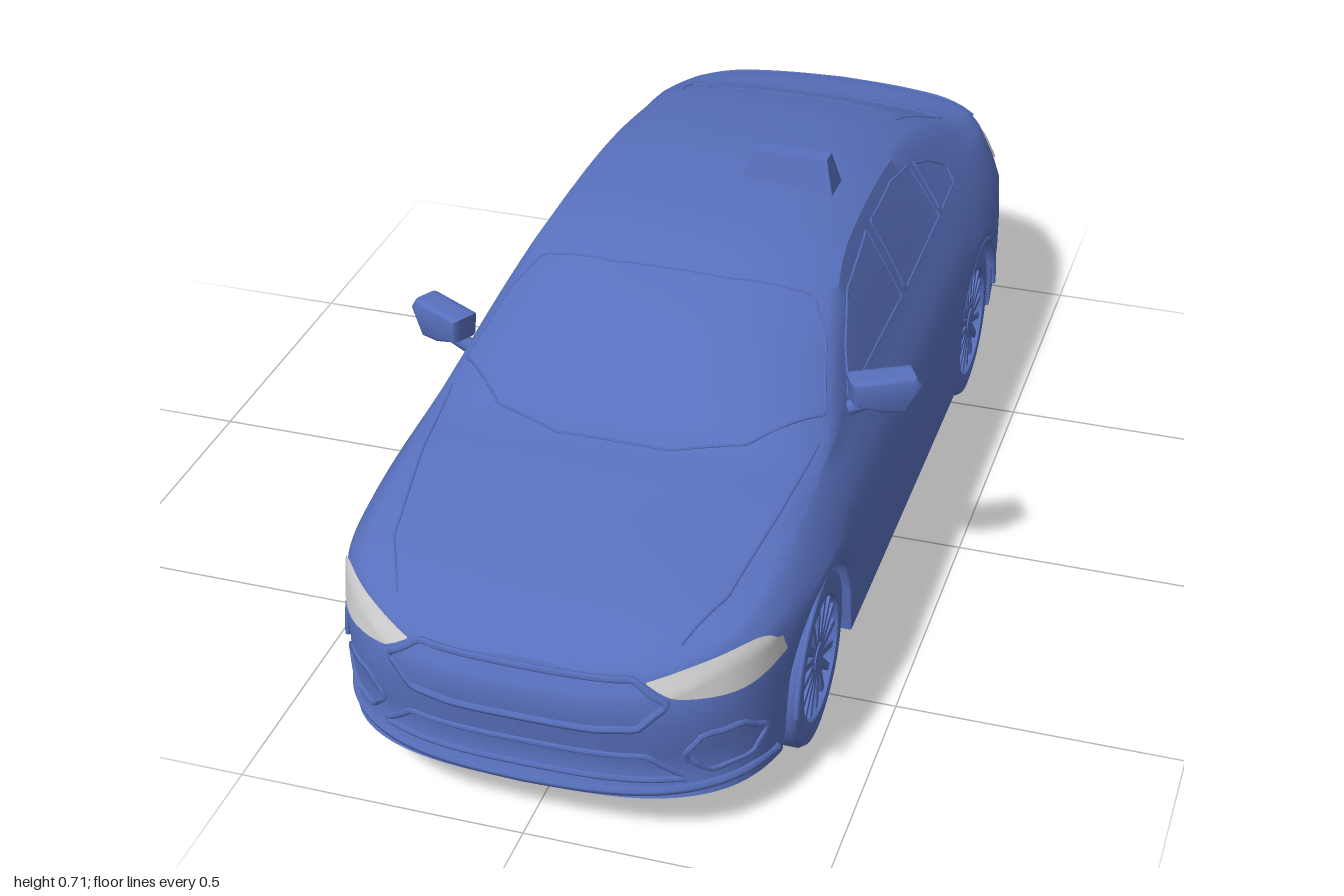
import * as THREE from 'three';
import { toCreasedNormals } from 'three/addons/utils/BufferGeometryUtils.js';

const paint = new THREE.MeshStandardMaterial({ color: 0x5870bd, side: THREE.DoubleSide });
const lamp = new THREE.MeshStandardMaterial({ color: 0xcccccc, side: THREE.DoubleSide });
const WHEELS = [0.603, -0.571], WHEEL_R = 0.155, ARCH_R = 0.168;

// Smooth interpolation through [position, value] pairs in ascending order
function curve(pts) {
  const slope = i => {
    const a = pts[Math.max(i - 1, 0)], b = pts[Math.min(i + 1, pts.length - 1)];
    return (b[1] - a[1]) / (b[0] - a[0]);
  };
  return v => {
    if (v <= pts[0][0]) return pts[0][1];
    for (let i = 0; i < pts.length - 1; i++) {
      const [x0, y0] = pts[i], [x1, y1] = pts[i + 1];
      if (v > x1) continue;
      const h = x1 - x0, t = (v - x0) / h, t2 = t * t, t3 = t2 * t;
      return y0 * (2 * t3 - 3 * t2 + 1) + y1 * (3 * t2 - 2 * t3)
        + h * (slope(i) * (t3 - 2 * t2 + t) + slope(i + 1) * (t3 - t2));
    }
    return pts[pts.length - 1][1];
  };
}

// Body lines along the car, from tail (-z) to nose (+z)
const topY = curve([[-1, .455], [-.95, .466], [-.85, .482], [-.8, .5], [-.7, .553], [-.6, .598], [-.5, .625], [-.4, .641],
  [-.2, .66], [0, .656], [.1, .645], [.2, .62], [.3, .583], [.4, .53], [.5, .474], [.6, .452], [.8, .412], [.9, .384], [.995, .335]]);
const railY = curve([[-1, .445], [-.95, .452], [-.85, .47], [-.75, .502], [-.6, .56], [-.4, .605], [-.2, .625], [0, .62],
  [.1, .6], [.2, .56], [.3, .505], [.4, .457], [.5, .442], [.6, .432], [.8, .393], [.9, .367], [.995, .328]]);
const railX = curve([[-1, .85], [-.85, .8], [-.7, .72], [-.5, .655], [-.3, .65], [0, .665], [.1, .69], [.2, .735],
  [.3, .79], [.4, .835], [.5, .815], [.8, .78], [.995, .85]]);
const beltY = curve([[-1, .425], [-.9, .442], [-.75, .462], [-.5, .463], [0, .45], [.3, .445], [.45, .433], [.6, .414],
  [.8, .382], [.9, .357], [.995, .318]]);
const beltX = curve([[-1, .9], [-.8, .875], [-.5, .865], [.3, .872], [.5, .875], [.8, .9], [.995, .95]]);
const shoulderY = curve([[-1, .34], [-.9, .36], [-.6, .36], [0, .345], [.7, .345], [.9, .33], [.995, .28]]);
const floorY = curve([[-1, .128], [-.85, .115], [-.75, .1], [-.6, .088], [.8, .088], [.995, .1]]);
const noseBack = curve([[.09, 0], [.13, .022], [.2, .012], [.27, 0], [.34, .025], [.4, .01]]);
const tailBack = curve([[.1, .055], [.16, .012], [.25, 0], [.29, .02], [.34, .036], [.41, .03], [.46, .005]]);
const halfWidth = z => 0.405 * (z > 0 ? Math.pow(Math.max(0, 1 - (z / .995) ** 7), .33) : Math.pow(Math.max(0, 1 - (-z) ** 9), .24));

// Half cross-section from the floor centre, through the wheel well, up the side to the roof centre
function section(z) {
  const w = halfWidth(z), base = floorY(z), inner = Math.min(.295, w * .9);
  let y0 = base;
  for (const c of WHEELS) {
    const d = Math.abs(z - c);
    if (d < ARCH_R) y0 = WHEEL_R + Math.sqrt(ARCH_R ** 2 - d * d);
  }
  const s = shoulderY(z), b = beltY(z), bx = beltX(z) * w, r = railY(z), rx = railX(z) * w, t = topY(z);
  const mix = THREE.MathUtils.lerp;
  const p = [[0, base], [inner, base], [inner, y0], [w * .982, y0]];
  for (const [k, f] of [[.15, .992], [.4, 1], [.7, 1], [1, .99]]) p.push([w * f, mix(y0, s, k)]);
  p.push([mix(w, bx, .35), mix(s, b, .4)], [mix(w, bx, .72), mix(s, b, .75)], [bx, b]);
  for (const k of [.25, .5, .75, 1]) p.push([mix(bx, rx, k) + .03 * w * k * (1 - k), mix(b, r, k)]);
  for (const k of [.95, .88, .78, .62, .45, .25, 0]) p.push([rx * k, t - (t - r) * k ** 3]);
  return p;
}

function bodyGeometry() {
  const N = 200, pos = [], index = [];
  let m = 0;
  for (let k = 0; k <= N; k++) {
    const z = -.0025 - .9975 * Math.cos(Math.PI * k / N), half = section(z);
    const ring = half.concat(half.slice(1, -1).reverse().map(([x, y]) => [-x, y]));
    const ramp = THREE.MathUtils.smoothstep(Math.abs(z), .78, .96);
    m = ring.length;
    for (const [x, y] of ring) pos.push(x, y, z + ramp * (z > 0 ? -noseBack(y) : tailBack(y)));
  }
  for (let k = 0; k < N; k++) for (let i = 0; i < m; i++) {
    const j = (i + 1) % m, a = k * m + i, b = k * m + j;
    index.push(a, b, b + m, a, b + m, a + m);
  }
  const g = new THREE.BufferGeometry();
  g.setAttribute('position', new THREE.Float32BufferAttribute(pos, 3));
  g.setIndex(index);
  return toCreasedNormals(g, .65);
}

export function createModel() {
  const car = new THREE.Group();
  const add = (name, geo, mat = paint, parent = car) => {
    const mesh = new THREE.Mesh(geo, mat);
    mesh.name = name;
    parent.add(mesh);
    return mesh;
  };
  const body = add('body', bodyGeometry());
  body.updateMatrixWorld();

  // Drop a flat point onto the body: front/back take (x, y), left/right (z, y), top (x, z)
  const ray = new THREE.Raycaster();
  const views = {
    front: (a, b) => [[a, b, 3], [0, 0, -1]], back: (a, b) => [[a, b, -3], [0, 0, 1]], top: (a, b) => [[a, 3, b], [0, -1, 0]],
    left: (a, b) => [[3, b, a], [-1, 0, 0]], right: (a, b) => [[-3, b, a], [1, 0, 0]],
  };
  function project(view, a, b, lift = 0) {
    for (let n = 0; n < 25; n++, a *= .985) {
      const [o, d] = views[view](a, b).map(v => new THREE.Vector3(...v));
      ray.set(o, d);
      const hit = ray.intersectObject(body)[0];
      if (hit) return hit.point.addScaledVector(hit.face.normal, lift);
    }
    return null;
  }
  // Thin trim line laid on the body along a flat outline
  function trim(name, view, pts, r = .003, closed = true) {
    const out = [], n = closed ? pts.length : pts.length - 1;
    for (let i = 0; i < n; i++) {
      const p = pts[i], q = pts[(i + 1) % pts.length], steps = Math.max(2, Math.ceil(Math.hypot(q[0] - p[0], q[1] - p[1]) / .03));
      for (let k = 0; k < steps; k++) out.push(project(view, p[0] + (q[0] - p[0]) * k / steps, p[1] + (q[1] - p[1]) * k / steps));
    }
    if (!closed) out.push(project(view, ...pts[pts.length - 1]));
    const path = new THREE.CatmullRomCurve3(out.filter(Boolean), closed, 'centripetal');
    add(name, new THREE.TubeGeometry(path, out.length * 2, r, 5, closed));
  }
  // Lamp glass stretched over the body between an upper and a lower edge
  function lampPatch(name, view, upper, lower, sx) {
    const [u, l] = [upper, lower].map(e => new THREE.SplineCurve(e.map(p => new THREE.Vector2(p[0] * sx, p[1]))));
    const g = new THREE.PlaneGeometry(1, 1, 18, 8), p = g.attributes.position, uv = g.attributes.uv;
    for (let i = 0; i < p.count; i++) {
      const q = l.getPoint(uv.getX(i)).lerp(u.getPoint(uv.getX(i)), uv.getY(i));
      const v = project(view, q.x, q.y, .004);
      if (v) p.setXYZ(i, v.x, v.y, v.z);
    }
    g.computeVertexNormals();
    add(name, g, lamp);
  }
  const mirrorX = pts => pts.concat(pts.slice().reverse().map(([x, y]) => [-x, y]));

  // Nose and tail trim
  trim('grilleFrame', 'front', mirrorX([[.18, .322], [.235, .285], [.19, .24], [.12, .232]]), .007);
  trim('lowerGrilleFrame', 'front', mirrorX([[.2, .176], [.26, .126]]), .006);
  trim('frontLip', 'front', [[-.37, .112], [0, .106], [.37, .112]], .008, false);
  trim('rearBumperLine', 'back', [[-.36, .275], [0, .27], [.36, .275]], .005, false);
  trim('rearLip', 'back', [[-.36, .15], [0, .14], [.36, .15]], .006, false);
  trim('bootLip', 'back', [[-.3, .446], [0, .452], [.3, .446]], .006, false);
  // Windscreen, rear window and bonnet lines
  trim('windscreenFrame', 'top', mirrorX([[.1, .195], [.25, .17], [.29, .23], [.325, .36], [.22, .48], [.1, .525]]), .0025);
  trim('rearWindowFrame', 'top', mirrorX([[.1, -.57], [.22, -.56], [.265, -.77], [.13, -.82]]), .0025);

  for (const s of [1, -1]) {
    const side = s > 0 ? 'left' : 'right';
    // Lamps and fog lamp surrounds
    lampPatch(side + 'Headlamp', 'front', [[.2, .32], [.28, .342], [.345, .353], [.372, .335]], [[.2, .317], [.25, .293], [.335, .285], [.377, .302]], s);
    lampPatch(side + 'TailLamp', 'back', [[.19, .418], [.27, .427], [.33, .428], [.352, .42]], [[.19, .412], [.25, .385], [.3, .34], [.366, .39]], s);
    trim(side + 'FogLampFrame', 'front', [[.255, .175], [.285, .215], [.335, .215], [.362, .18], [.345, .142], [.29, .135]].map(([x, y]) => [x * s, y]), .006);
    trim(side + 'BonnetLine', 'top', [[.33, .42], [.315, .6], [.285, .8], [.24, .9]].map(([x, z]) => [x * s, z]), .0025, false);
    // Side windows
    trim(side + 'FrontWindow', side, [[.28, .465], [.2, .525], [.1, .575], [-.08, .598], [-.1, .462]]);
    trim(side + 'RearWindow', side, [[-.13, .462], [-.115, .6], [-.28, .598], [-.4, .575], [-.41, .47]]);
    trim(side + 'QuarterWindow', side, [[-.43, .472], [-.43, .565], [-.5, .54], [-.56, .505], [-.55, .475]]);

    // Door mirror, swept back toward its tip
    const mirror = new THREE.Group();
    mirror.name = side + 'Mirror';
    const shape = new THREE.Shape([[0, .055], [.105, .055], [.113, .042], [.088, -.002], [.05, .002], [.005, .018]].map(p => new THREE.Vector2(...p)));
    const head = new THREE.ExtrudeGeometry(shape, { depth: .03, bevelSize: .006, bevelThickness: .012, bevelSegments: 3 });
    head.translate(0, 0, -.02).rotateY(.5);
    add('mirrorHead', toCreasedNormals(head, .7), paint, mirror).position.set(.357, .459, .3);
    const stem = add('mirrorStem', new THREE.CylinderGeometry(.01, .016, .07, 8), paint, mirror);
    stem.position.set(.365, .46, .285);
    stem.rotation.z = -1.15;
    mirror.scale.x = s;
    car.add(mirror);

    // Exhaust tip
    const pipe = add(side + 'Exhaust', new THREE.CylinderGeometry(.01, .01, .07, 10));
    pipe.rotation.x = Math.PI / 2;
    pipe.position.set(.2 * s, .128, -.945);

    WHEELS.forEach((z, i) => {
      // Wheel arch lip
      const lip = add('wheelArch', new THREE.TorusGeometry(ARCH_R + .002, .005, 6, 32, Math.PI));
      lip.rotation.y = Math.PI / 2;
      lip.position.set((halfWidth(z) - .006) * s, WHEEL_R, z);
      // Tyre and dished rim, outer face on +x
      const wheel = new THREE.Group();
      wheel.name = (i ? 'rear' : 'front') + 'Wheel';
      const profile = [[0, -.045], [.13, -.045], [.149, -.04], [.155, -.03], [.155, .03], [.149, .04], [.125, .045],
        [.11, .043], [.106, .034], [.1, .015], [0, .015]].map(p => new THREE.Vector2(...p));
      add('tyre', toCreasedNormals(new THREE.LatheGeometry(profile, 40), .6).rotateZ(-Math.PI / 2), paint, wheel);
      add('hub', new THREE.CylinderGeometry(.026, .032, .028, 20).rotateZ(-Math.PI / 2), paint, wheel).position.x = .026;
      for (let k = 0; k < 16; k++) {
        const spoke = new THREE.BoxGeometry(.016, .078, .013).translate(.03, .066, 0);
        add('spoke', spoke.rotateX(k * Math.PI / 8), paint, wheel);
      }
      wheel.position.set(.348 * s, WHEEL_R, z);
      if (s < 0) wheel.rotation.y = Math.PI;
      car.add(wheel);
    });
  }

  // Roof sign, tapering upward, set to the left of centre
  const sign = new THREE.BoxGeometry(.172, .062, .066), sp = sign.attributes.position;
  for (let i = 0; i < sp.count; i++) if (sp.getY(i) > 0) sp.setXYZ(i, sp.getX(i) * .82, sp.getY(i), sp.getZ(i) * .5);
  sign.computeVertexNormals();
  add('roofSign', sign).position.set(.125, .679, -.133);
  return car;
}
